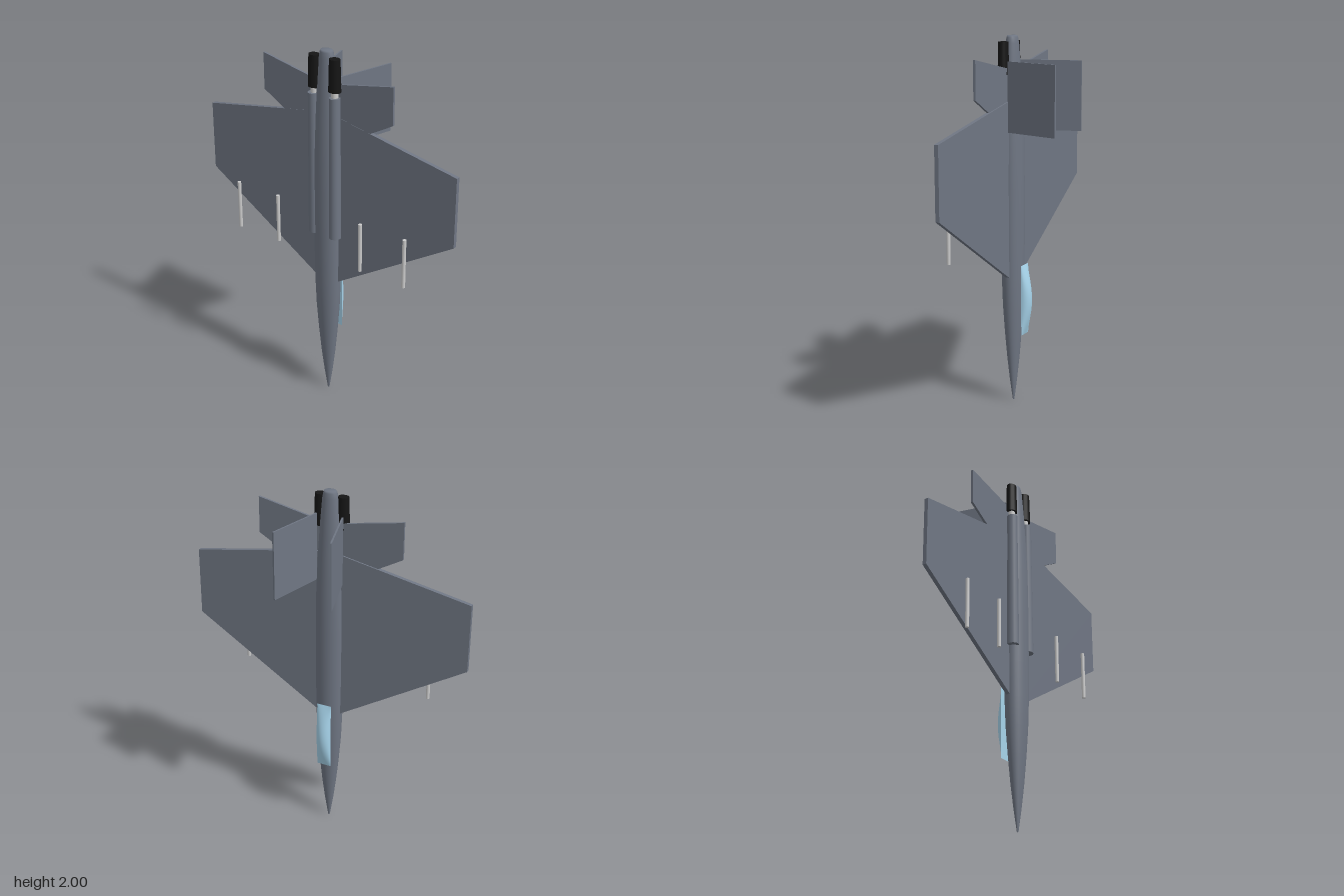
import * as THREE from 'three';

const mat = (color) => new THREE.MeshStandardMaterial({ color, side: THREE.DoubleSide });
const SKIN = mat(0x6f7683), BLACK = mat(0x151515), GLASS = mat(0xa6d3ea), GREY = mat(0xcccccc);
const AXIS_Z = 0.12;

function part(parent, name, geometry, material, x = 0, y = 0, z = 0) {
  const mesh = new THREE.Mesh(geometry, material);
  mesh.name = name;
  mesh.position.set(x, y, z);
  parent.add(mesh);
  return mesh;
}

// Flat panel in the x-y plane, centred on z = 0
function panel(points, thickness) {
  const shape = new THREE.Shape(points.map(([x, y]) => new THREE.Vector2(x, y)));
  return new THREE.ExtrudeGeometry(shape, { depth: thickness, bevelEnabled: false })
    .translate(0, 0, -thickness / 2);
}

// Bubble of constant width whose height rises and falls along its length
function bubble(halfWidth, length, height) {
  const rows = 16, cols = 14, pos = [], index = [];
  for (let i = 0; i <= rows; i++) {
    const v = i / rows;
    const h = height * Math.sin(Math.PI * v);
    for (let j = 0; j <= cols; j++) {
      const a = Math.PI * j / cols;
      pos.push(halfWidth * Math.cos(a), (v - 0.5) * length, -h * Math.sin(a));
    }
  }
  for (let i = 0; i < rows; i++) {
    for (let j = 0; j < cols; j++) {
      const a = i * (cols + 1) + j, b = a + cols + 1;
      index.push(a, a + 1, b, b, a + 1, b + 1);
    }
  }
  const g = new THREE.BufferGeometry();
  g.setAttribute('position', new THREE.Float32BufferAttribute(pos, 3));
  g.setIndex(index);
  g.computeVertexNormals();
  return g;
}

export function createModel() {
  const jet = new THREE.Group();
  jet.name = 'jet';

  // Fuselage: oval body, nose down, rounded tail end
  const profile = [[0, 0], [0.005, 0.002], [0.024, 0.12], [0.041, 0.25], [0.056, 0.4], [0.068, 0.55],
    [0.074, 0.7], [0.077, 0.9], [0.078, 1.2], [0.075, 1.45], [0.066, 1.65], [0.055, 1.82],
    [0.043, 1.96], [0.037, 1.99], [0.032, 2], [0, 2]];
  const body = new THREE.LatheGeometry(profile.map(([r, y]) => new THREE.Vector2(r, y)), 28);
  body.scale(1, 1, 0.77);
  part(jet, 'fuselage', body, SKIN, 0, 0, AXIS_Z);

  // Canopy with a flat base
  part(jet, 'canopy', bubble(0.041, 0.39, 0.04), GLASS, 0, 0.585, 0.05);
  part(jet, 'canopyBase', new THREE.PlaneGeometry(0.082, 0.39), GLASS, 0, 0.585, 0.05);

  for (const s of [1, -1]) {
    const side = s > 0 ? 'left' : 'right';
    const group = new THREE.Group();
    group.name = side + 'Side';
    jet.add(group);

    // Wing and tailplane
    const wing = [[0, 0.67], [0.78, 1.155], [0.78, 1.53], [0, 1.675]];
    const tail = [[0, 1.47], [0.405, 1.7], [0.405, 1.9], [0, 1.82]];
    const mirror = (pts) => pts.map(([x, y]) => [s * x, y]);
    part(group, 'wing', panel(mirror(wing), 0.022), SKIN, 0, 0, 0.116);
    part(group, 'tailplane', panel(mirror(tail), 0.013), SKIN, 0, 0, 0.119);

    // Canted fin
    const fin = part(group, 'fin', new THREE.BoxGeometry(0.009, 0.37, 0.325), SKIN, s * 0.115, 1.685, -0.049);
    fin.rotation.y = -s * 0.262;

    // Engine pod, exhaust pipe and nozzle
    const pod = new THREE.CylinderGeometry(0.028, 0.032, 0.78, 18).scale(1, 1, 1.05);
    part(group, 'enginePod', pod, SKIN, s * 0.067, 1.38, 0.144);
    part(group, 'exhaustPipe', new THREE.CylinderGeometry(0.018, 0.018, 0.08, 12), GREY, s * 0.065, 1.785, 0.14);
    const nozzle = new THREE.CylinderGeometry(0.03, 0.035, 0.17, 14).scale(1, 1, 0.84);
    part(group, 'nozzle', nozzle, BLACK, s * 0.064, 1.885, 0.139);

    // Missiles hanging below the wing
    for (const x of [0.27, 0.541]) {
      part(group, 'missile', new THREE.CylinderGeometry(0.01, 0.01, 0.27, 12), GREY, s * x, 1.02, 0.2);
    }
  }
  return jet;
}
